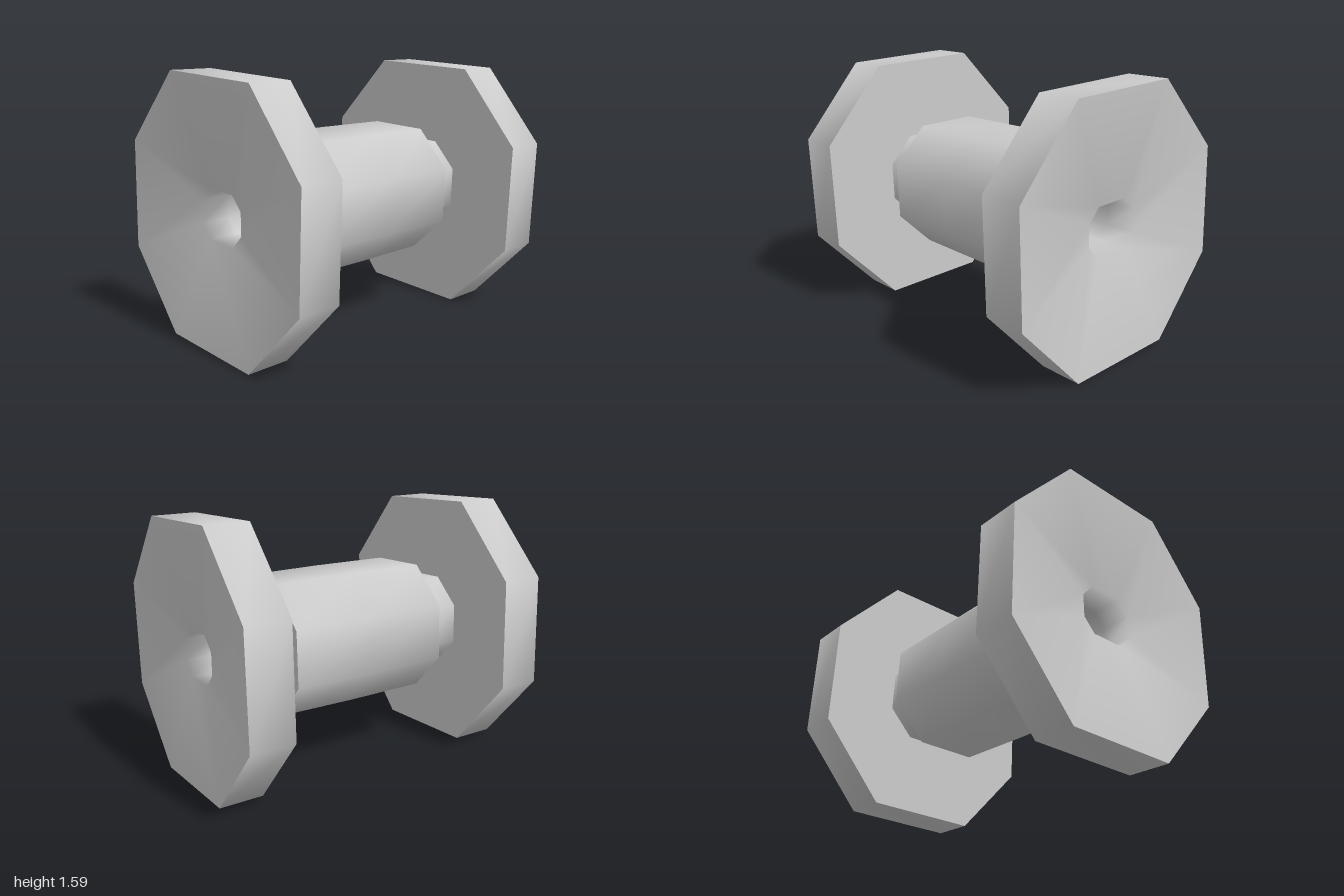
import * as THREE from 'three';

const CENTRE_Y = 0.795;

// Half of a slightly tilted octagon as [z, y]; the other half is its point reflection
const outerHalf = [[0.497, 0.956], [-0.418, 1], [-0.967, 0.459], [-1, -0.371]];
const boreHalf = [[0.59, 0.935], [-0.55, 1], [-0.98, 0.48], [-0.98, -0.41]];
const octagon = (half) => [...half, ...half.map(([z, y]) => [-z, -y])];
const outer = octagon(outerHalf);
const bore = octagon(boreHalf);

const material = new THREE.MeshStandardMaterial({ color: 0xcccccc });

// Ring: position along the axle, half width in z, half height in y, section
const ring = (x, rz, ry, section = outer) => ({ x, rz, ry, section });

// Skin between consecutive rings, smooth within one call
function loft(name, rings) {
  const pos = [];
  const index = [];
  const n = 8;
  for (const r of rings) {
    for (const [z, y] of r.section) pos.push(r.x, CENTRE_Y + y * r.ry, z * r.rz);
  }
  for (let j = 0; j < rings.length - 1; j++) {
    for (let k = 0; k < n; k++) {
      const a = j * n + k;
      const b = j * n + (k + 1) % n;
      index.push(a, a + n, b + n, a, b + n, b);
    }
  }
  const geometry = new THREE.BufferGeometry();
  geometry.setAttribute('position', new THREE.Float32BufferAttribute(pos, 3));
  geometry.setIndex(index);
  geometry.computeVertexNormals();
  const mesh = new THREE.Mesh(geometry, material);
  mesh.name = name;
  return mesh;
}

export function createModel() {
  const model = new THREE.Group();
  model.name = 'spool';

  const flange = (x) => ring(x, 0.765, 0.795);
  const neck = (x) => ring(x, 0.305, 0.287);
  const core = (x, s = 1) => ring(x, 0.42 * s, 0.4 * s);
  const hole = (x) => ring(x, 0.185, 0.153, bore);

  // Flanges and necks at both ends
  for (const side of [-1, 1]) {
    const end = new THREE.Group();
    end.name = side > 0 ? 'leftEnd' : 'rightEnd';
    const strip = (name, rings) => end.add(loft(name, side > 0 ? rings : rings.reverse()));
    strip('neck', [neck(side * 0.52), neck(side * 0.73)]);
    strip('flangeInnerFace', [neck(side * 0.73), flange(side * 0.73)]);
    strip('flangeRim', [flange(side * 0.73), flange(side)]);
    strip('coreShoulder', [core(side * 0.51), neck(side * 0.52)]);
    model.add(end);
  }

  // Barrel with a very slight swell
  model.add(loft('core', [core(-0.51), core(0, 1.01), core(0.51)]));

  // Dished outer faces flowing into the bore through the whole length
  model.add(loft('dishedFacesAndBore', [
    flange(1), hole(0.92), hole(0.73), hole(-0.73), hole(-0.92), flange(-1),
  ]));

  return model;
}
